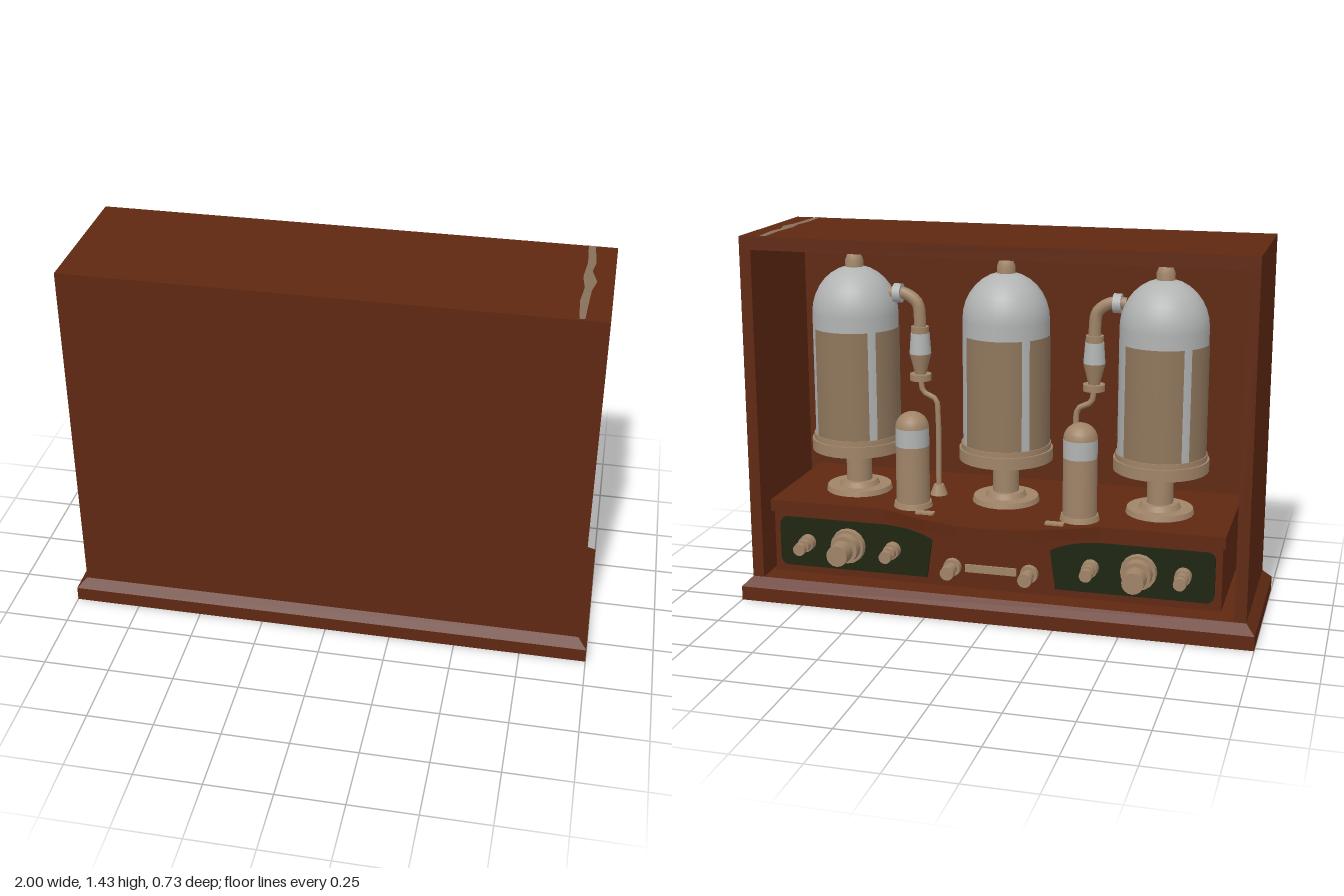
import * as THREE from 'three';

const mat = (name, color) => {
  const m = new THREE.MeshStandardMaterial({ color });
  m.name = name;
  return m;
};

export function createModel() {
  const wood = mat('wood', 0x5f2811);
  const glass = mat('glass', 0xb2b3b3);
  const tan = mat('tan metal', 0xa08468);
  const plate = mat('inner plate', 0x8f765c);
  const green = mat('dark green panel', 0x1e2510);
  const worn = mat('worn edge', 0x86705a);
  worn.side = THREE.DoubleSide;

  const root = new THREE.Group();
  root.name = 'valveCabinet';

  const add = (parent, name, geo, m, x = 0, y = 0, z = 0) => {
    const mesh = new THREE.Mesh(geo, m);
    mesh.name = name;
    mesh.position.set(x, y, z);
    parent.add(mesh);
    return mesh;
  };
  const group = (name, x = 0, y = 0, z = 0) => {
    const g = new THREE.Group();
    g.name = name;
    g.position.set(x, y, z);
    root.add(g);
    return g;
  };
  // box given by its min and max corners
  const box = (name, m, x0, x1, y0, y1, z0, z1) =>
    add(root, name, new THREE.BoxGeometry(x1 - x0, y1 - y0, z1 - z0), m,
      (x0 + x1) / 2, (y0 + y1) / 2, (z0 + z1) / 2);
  // upright cylinder from y0 to y1
  const cyl = (parent, name, m, r0, r1, y0, y1, seg = 24) =>
    add(parent, name, new THREE.CylinderGeometry(r1, r0, y1 - y0, seg), m, 0, (y0 + y1) / 2, 0);
  const lathe = (pts, seg = 28) =>
    new THREE.LatheGeometry(pts.map(p => new THREE.Vector2(p[0], p[1])), seg);

  // plinth with a bevelled upper edge
  box('plinth', wood, -1, 1, 0, 0.055, -0.275, 0.365);
  const bevel = new THREE.BoxGeometry(2, 0.035, 0.64);
  const bp = bevel.attributes.position;
  for (let i = 0; i < bp.count; i++) {
    if (bp.getY(i) > 0) {
      bp.setX(i, Math.sign(bp.getX(i)) * 0.965);
      bp.setZ(i, bp.getZ(i) > 0 ? 0.29 : -0.285);
    }
  }
  const bevelGeo = bevel.toNonIndexed();
  bevelGeo.computeVertexNormals();
  add(root, 'plinthBevel', bevelGeo, wood, 0, 0.0725, 0.045);

  // cabinet shell, open at the back
  box('frontPanel', wood, -0.965, 0.965, 0.08, 1.43, 0.29, 0.335);
  box('cabinetTop', wood, -0.965, 0.965, 1.38, 1.43, -0.24, 0.29);
  for (const s of [-1, 1]) {
    const x = s * 0.9425;
    box('cabinetSide', wood, x - 0.0225, x + 0.0225, 0.08, 1.38, -0.24, 0.29);
  }

  // worn strip along the cabinet top
  const strip = new THREE.Shape();
  const edge = [[0.86, 0.33], [0.855, 0.2], [0.865, 0.1], [0.855, 0.02], [0.865, -0.1], [0.86, -0.235],
    [0.885, -0.235], [0.895, -0.1], [0.885, -0.03], [0.905, 0.05], [0.89, 0.12], [0.885, 0.22], [0.88, 0.33]];
  strip.setFromPoints(edge.map(p => new THREE.Vector2(p[0], p[1])));
  const stripGeo = new THREE.ShapeGeometry(strip);
  stripGeo.rotateX(Math.PI / 2);
  // the shape faces down after turning, so swap two corners of each face
  const idx = stripGeo.index;
  for (let i = 0; i < idx.count; i += 3) {
    const a = idx.getX(i);
    idx.setX(i, idx.getX(i + 1));
    idx.setX(i + 1, a);
  }
  stripGeo.computeVertexNormals();
  add(root, 'wornStrip', stripGeo, worn, 0, 1.433, 0);

  // chassis and its bowed shelf
  box('chassis', wood, -0.87, 0.87, 0.12, 0.37, -0.225, 0.29);
  const shelf = new THREE.Shape();
  shelf.moveTo(-0.88, 0.29);
  shelf.lineTo(-0.88, -0.238);
  shelf.lineTo(-0.42, -0.238);
  shelf.bezierCurveTo(-0.3, -0.29, -0.17, -0.365, 0, -0.365);
  shelf.bezierCurveTo(0.17, -0.365, 0.3, -0.29, 0.42, -0.238);
  shelf.lineTo(0.88, -0.238);
  shelf.lineTo(0.88, 0.29);
  const shelfGeo = new THREE.ExtrudeGeometry(shelf, { depth: 0.045, bevelEnabled: false, curveSegments: 10 });
  shelfGeo.rotateX(Math.PI / 2);
  add(root, 'shelf', shelfGeo, wood, 0, 0.41, 0);

  // big glass valves on pedestals
  const dome = [[0.165, 0.62], [0.165, 1.12]];
  for (let i = 1; i <= 8; i++) {
    const a = (i / 8) * Math.PI / 2;
    dome.push([Math.max(0.165 * Math.cos(a), 0.0001), 1.12 + 0.18 * Math.sin(a)]);
  }
  const deg = Math.PI / 180;
  for (const x of [-0.6, 0, 0.6]) {
    const g = group('largeValve', x);
    cyl(g, 'foot', tan, 0.13, 0.125, 0.41, 0.43);
    cyl(g, 'footHub', tan, 0.08, 0.07, 0.43, 0.45);
    cyl(g, 'stem', tan, 0.05, 0.05, 0.45, 0.56);
    cyl(g, 'stemFlare', tan, 0.07, 0.14, 0.55, 0.58);
    cyl(g, 'collar', tan, 0.18, 0.18, 0.58, 0.625, 32);
    cyl(g, 'collarRim', tan, 0.172, 0.172, 0.625, 0.645, 32);
    add(g, 'glassJar', lathe(dome, 32), glass);
    for (const [a, b] of [[55, 103], [133, 215], [226, 288]]) {
      const geo = new THREE.CylinderGeometry(0.1675, 0.1675, 0.42, 14, 1, true, a * deg, (b - a) * deg);
      add(g, 'innerPlate', geo, plate, 0, 0.855, 0);
    }
    const tip = lathe([[0.035, 1.28], [0.035, 1.32], [0.025, 1.345], [0.0001, 1.358]], 14);
    add(g, 'topTip', tip, tan);
  }

  for (const s of [-1, 1]) {
    // small valves
    const v = group('smallValve', s * 0.325, 0, -0.16);
    cyl(v, 'smallFoot', tan, 0.075, 0.07, 0.41, 0.43);
    cyl(v, 'smallBody', tan, 0.064, 0.064, 0.43, 0.65);
    cyl(v, 'smallBand', glass, 0.064, 0.064, 0.65, 0.72);
    const cap = [];
    for (let i = 0; i <= 6; i++) {
      const a = (i / 6) * Math.PI / 2;
      cap.push([Math.max(0.064 * Math.cos(a), 0.0001), 0.72 + 0.06 * Math.sin(a)]);
    }
    add(v, 'smallCap', lathe(cap, 24), tan);
    box('shelfTab', tan, s * 0.25 - 0.035, s * 0.25 + 0.035, 0.41, 0.418, -0.265, -0.235);

    // connecting lead from an outer valve down to the shelf
    const lead = group('lead', s * 0.34);
    const elbow = new THREE.CatmullRomCurve3([
      new THREE.Vector3(s * 0.12, 1.2, 0), new THREE.Vector3(s * 0.06, 1.2, 0),
      new THREE.Vector3(s * 0.01, 1.165, 0), new THREE.Vector3(0, 1.1, 0), new THREE.Vector3(0, 1.05, 0)]);
    add(lead, 'elbowPipe', new THREE.TubeGeometry(elbow, 16, 0.023, 10), tan);
    const joint = new THREE.CylinderGeometry(0.037, 0.037, 0.03, 16);
    joint.rotateZ(Math.PI / 2);
    add(lead, 'elbowJoint', joint, glass, s * 0.085, 1.2, 0);
    cyl(lead, 'upperRing', tan, 0.034, 0.034, 1.05, 1.075, 16);
    cyl(lead, 'insulator', glass, 0.042, 0.036, 0.97, 1.05, 16);
    cyl(lead, 'insulatorCone', tan, 0.022, 0.042, 0.89, 0.97, 16);
    cyl(lead, 'lowerRing', tan, 0.042, 0.042, 0.865, 0.89, 16);
    const wire = new THREE.CatmullRomCurve3([
      new THREE.Vector3(0, 0.87, 0), new THREE.Vector3(-s * 0.01, 0.82, 0),
      new THREE.Vector3(-s * 0.06, 0.79, 0), new THREE.Vector3(-s * 0.068, 0.72, 0),
      new THREE.Vector3(-s * 0.068, 0.41, 0)]);
    add(lead, 'wire', new THREE.TubeGeometry(wire, 24, 0.011, 8), tan);
    const foot = cyl(lead, 'wireFoot', tan, 0.035, 0.02, 0.41, 0.45, 12);
    foot.position.x = -s * 0.068;

    // green control panel
    const p = new THREE.Shape();
    p.moveTo(s * 0.25, 0.15);
    p.lineTo(s * 0.81, 0.15);
    p.quadraticCurveTo(s * 0.845, 0.15, s * 0.845, 0.19);
    p.lineTo(s * 0.845, 0.31);
    p.quadraticCurveTo(s * 0.845, 0.345, s * 0.81, 0.345);
    p.lineTo(s * 0.42, 0.345);
    p.quadraticCurveTo(s * 0.3, 0.34, s * 0.23, 0.3);
    const panel = new THREE.ExtrudeGeometry(p, { depth: 0.009, bevelEnabled: false });
    add(root, 'controlPanel', panel, green, 0, 0, -0.234);
  }

  // knobs and terminals: stacked discs [radius, start, end] pointing to the back
  const knob = (name, x, y, discs) => {
    const g = group(name, x, y, -0.225);
    g.rotation.x = -Math.PI / 2;
    for (const [r, a, b] of discs) cyl(g, name + 'Disc', tan, r, r * 0.95, a, b, 16);
  };
  const small = [[0.032, 0, 0.045], [0.025, 0.045, 0.07], [0.015, 0.07, 0.09], [0.025, 0.09, 0.11]];
  const large = [[0.07, 0, 0.03], [0.056, 0.03, 0.065], [0.036, 0.065, 0.08], [0.043, 0.08, 0.142]];
  for (const s of [-1, 1]) {
    knob('outerKnob', s * 0.73, 0.25, small);
    knob('mainKnob', s * 0.565, 0.25, large);
    knob('innerKnob', s * 0.385, 0.25, small);
    knob('terminal', s * 0.15, 0.2, [[0.035, 0, 0.02], [0.022, 0.02, 0.06], [0.028, 0.06, 0.085]]);
  }
  box('terminalStrip', tan, -0.1, 0.1, 0.185, 0.215, -0.233, -0.225);

  return root;
}
